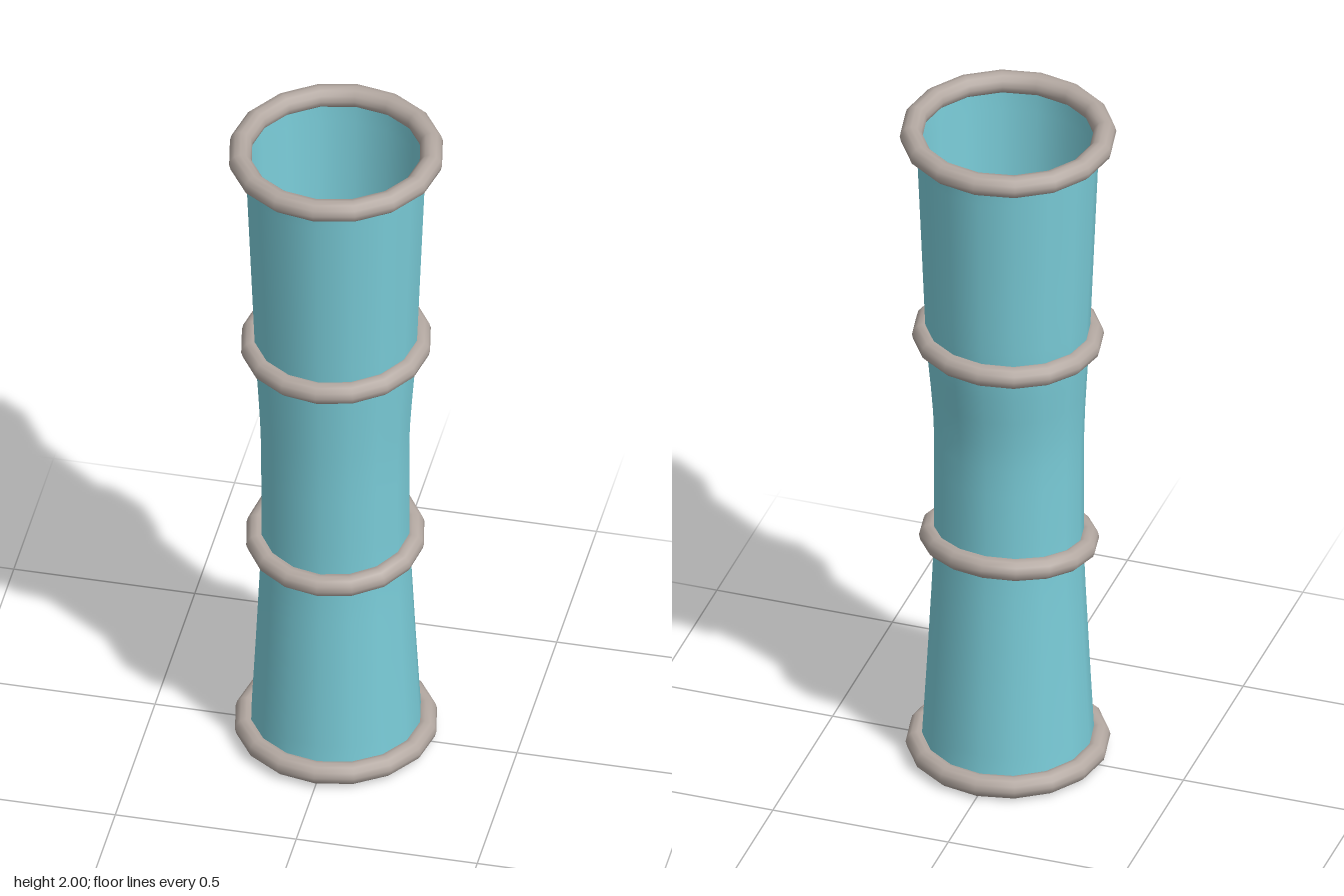
import * as THREE from 'three';
import { mergeVertices } from 'three/addons/utils/BufferGeometryUtils.js';

const SIDES = 16;

// Open sleeve: a cylinder whose cross-sections follow a list of ellipses
function sleeveGeometry() {
  // half width, half depth, depth offset, at even heights from bottom to top
  const sections = [
    [0.234, 0.235, 0.0],
    [0.217, 0.213, 0.003],
    [0.204, 0.196, 0.006],
    [0.204, 0.195, 0.01],
    [0.222, 0.22, 0.0],
    [0.235, 0.234, 0.0],
    [0.248, 0.249, 0.0],
  ];
  const curve = new THREE.CatmullRomCurve3(sections.map(s => new THREE.Vector3(...s)));
  const bottom = 0.035, height = 1.93;
  const geo = new THREE.CylinderGeometry(1, 1, 1, SIDES, 24, true);
  const pos = geo.attributes.position;
  for (let i = 0; i < pos.count; i++) {
    const t = THREE.MathUtils.clamp(pos.getY(i) + 0.5, 0, 1);
    const s = curve.getPoint(t);
    pos.setXYZ(i, pos.getX(i) * s.x, bottom + t * height, pos.getZ(i) * s.y + s.z);
  }
  // weld the seam so shading runs smoothly round
  geo.deleteAttribute('uv');
  geo.deleteAttribute('normal');
  const welded = mergeVertices(geo, 1e-4);
  welded.computeVertexNormals();
  return welded;
}

export function createModel() {
  const group = new THREE.Group();
  const sleeveMat = new THREE.MeshStandardMaterial({ color: 0x7accd8, side: THREE.DoubleSide });
  const ringMat = new THREE.MeshStandardMaterial({ color: 0xb3a8a1 });

  const sleeve = new THREE.Mesh(sleeveGeometry(), sleeveMat);
  sleeve.name = 'sleeve';
  group.add(sleeve);

  // Hoops around the sleeve, each slightly tilted
  const rings = [
    { name: 'bottomRing', r: 0.246, y: 0.037, z: 0, tiltX: -0.012, tiltZ: 0, depth: 1 },
    { name: 'lowerRing', r: 0.214, y: 0.677, z: 0.009, tiltX: 0.115, tiltZ: 0.005, depth: 0.965 },
    { name: 'upperRing', r: 0.229, y: 1.328, z: 0, tiltX: 0.03, tiltZ: 0.022, depth: 1 },
    { name: 'topRing', r: 0.262, y: 1.966, z: 0, tiltX: -0.008, tiltZ: 0.013, depth: 1 },
  ];
  for (const { name, r, y, z, tiltX, tiltZ, depth } of rings) {
    const geo = new THREE.TorusGeometry(r, 0.031, 12, SIDES).rotateX(Math.PI / 2).scale(1, 1, depth);
    const ring = new THREE.Mesh(geo, ringMat);
    ring.name = name;
    ring.position.set(0, y, z);
    ring.rotation.set(tiltX, 0, tiltZ);
    group.add(ring);
  }
  return group;
}
